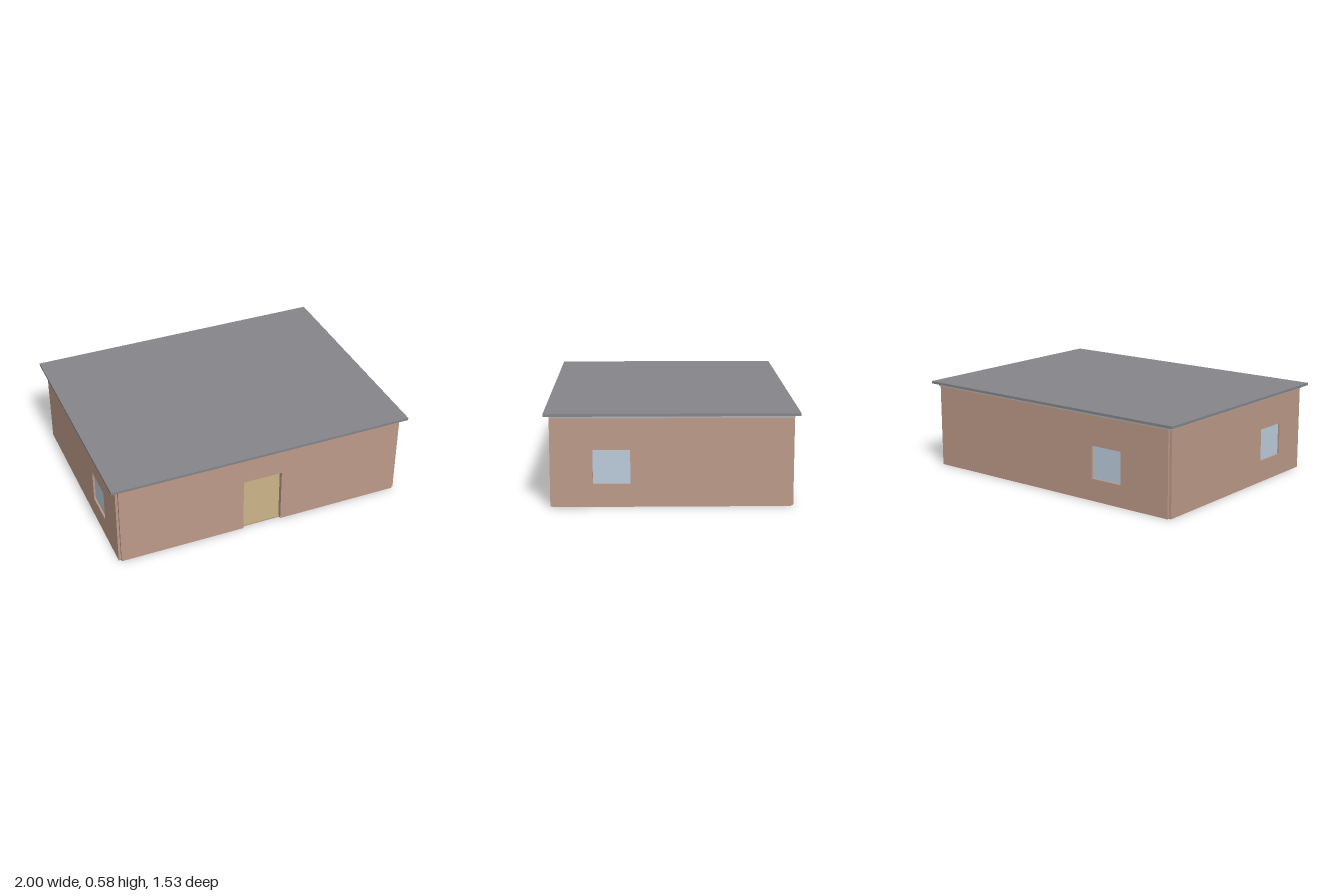
import * as THREE from 'three';

const W = 0.95, D = 0.718, T = 0.03, H = 0.543; // wall centre lines, thickness, height
const mat = (color) => new THREE.MeshStandardMaterial({ color, flatShading: true });

function box(name, material, w, h, d, x, y, z) {
  const mesh = new THREE.Mesh(new THREE.BoxGeometry(w, h, d), material);
  mesh.name = name;
  mesh.position.set(x, y, z);
  return mesh;
}

// Wall facing +z before turning; an opening is [u0, u1, v0, v1].
// An opening that starts at the ground becomes a doorway, others get a pane.
function wall(name, half, opening, brick, glass) {
  const group = new THREE.Group();
  group.name = name;
  const [u0, u1, v0, v1] = opening;
  const pts = [[-half, 0]];
  if (v0 === 0) pts.push([u0, 0], [u0, v1], [u1, v1], [u1, 0]);
  pts.push([half, 0], [half, H], [-half, H]);
  const shape = new THREE.Shape(pts.map(([x, y]) => new THREE.Vector2(x, y)));
  if (v0 > 0) {
    const hole = [[u0, v0], [u0, v1], [u1, v1], [u1, v0]];
    shape.holes.push(new THREE.Path(hole.map(([x, y]) => new THREE.Vector2(x, y))));
    group.add(box('windowPane', glass, u1 - u0, v1 - v0, 0.006, (u0 + u1) / 2, (v0 + v1) / 2, 0));
  }
  const geometry = new THREE.ExtrudeGeometry(shape, { depth: T, bevelEnabled: false });
  geometry.translate(0, 0, -T / 2);
  const mesh = new THREE.Mesh(geometry, brick);
  mesh.name = name + 'Panel';
  group.add(mesh);
  return group;
}

export function createModel() {
  const model = new THREE.Group();
  model.name = 'house';
  const brick = mat(0xbc9a88), glass = mat(0xbccddc), roofGrey = mat(0x85858a);
  const plateGrey = mat(0xb0b0b0), tan = mat(0xb8a47c);

  // Floor slab
  model.add(box('floor', tan, 2 * W, 0.01, 2 * D, 0, 0.005, 0));

  // Walls meet on their centre lines, leaving a small notch at each corner
  const front = wall('frontWall', W, [-0.13, 0.13, 0, 0.37], brick, glass);
  front.position.z = D;
  const back = wall('backWall', W, [0.37, 0.595, 0.143, 0.352], brick, glass);
  back.position.z = -D;
  back.rotation.y = Math.PI;
  model.add(front, back);
  for (const side of [1, -1]) {
    const u = side > 0 ? [-0.475, -0.25] : [0.25, 0.475];
    const w = wall(side > 0 ? 'leftWall' : 'rightWall', D, [...u, 0.143, 0.352], brick, glass);
    w.position.x = side * W;
    w.rotation.y = side * Math.PI / 2;
    model.add(w);
  }

  // Ceiling plate and overhanging flat roof
  model.add(box('ceilingPlate', plateGrey, 2 * W + T, 0.018, 2 * D + T, 0, H + 0.009, 0));
  model.add(box('roof', roofGrey, 2, 0.016, 1.53, 0, 0.569, 0));
  return model;
}
